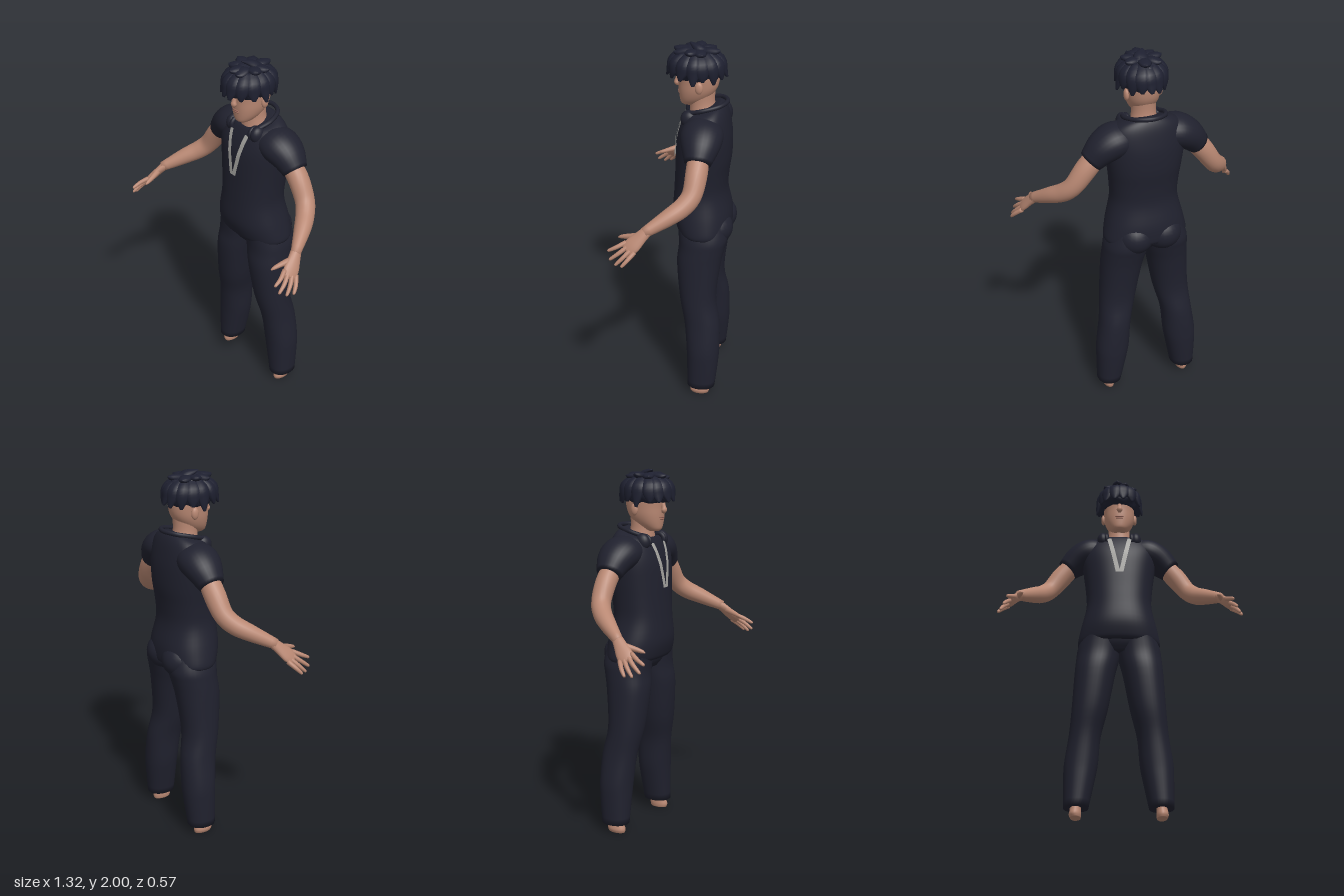
import * as THREE from 'three';

const mat = (name, color, extra = {}) => Object.assign(new THREE.MeshStandardMaterial({ color, ...extra }), { name });
const V = (x, y, z) => new THREE.Vector3(x, y, z);

// Skin a list of equal-length point rings, closing both ends
function loft(rings) {
  const n = rings[0].length, pos = [], idx = [];
  rings.forEach(r => r.forEach(p => pos.push(p.x, p.y, p.z)));
  for (let i = 0; i < rings.length - 1; i++)
    for (let j = 0; j < n; j++) {
      const a = i * n + j, b = i * n + (j + 1) % n;
      idx.push(a, a + n, b, b, a + n, b + n);
    }
  [rings[0], rings[rings.length - 1]].forEach((r, e) => {
    const c = r.reduce((s, p) => s.add(p), V(0, 0, 0)).divideScalar(n), k = pos.length / 3;
    pos.push(c.x, c.y, c.z);
    const o = e ? (rings.length - 1) * n : 0;
    for (let j = 0; j < n; j++) {
      const a = o + j, b = o + (j + 1) % n;
      e ? idx.push(k, b, a) : idx.push(k, a, b);
    }
  });
  const g = new THREE.BufferGeometry();
  g.setAttribute('position', new THREE.Float32BufferAttribute(pos, 3));
  g.setIndex(idx);
  g.computeVertexNormals();
  return g;
}

const spline = pts => new THREE.CatmullRomCurve3(pts, false, 'catmullrom', 0.5);
const sup = (v, n) => Math.sign(v) * Math.pow(Math.abs(v), 2 / n);

// Level cross-sections, bottom to top: [y, centreX, halfWidth, frontZ, backZ, tilt]
function stack(secs, power = 2.2, n = 36) {
  const c = spline(secs.map(s => V(s[1], s[0], (s[3] + s[4]) / 2)));
  const r = spline(secs.map(s => V(s[2], s[5] || 0, (s[3] - s[4]) / 2)));
  const steps = (secs.length - 1) * 4, rings = [];
  for (let i = 0; i <= steps; i++) {
    const p = c.getPoint(i / steps), q = r.getPoint(i / steps);
    rings.push(Array.from({ length: n }, (_, j) => {
      const a = j / n * Math.PI * 2, k = sup(Math.sin(a), power);
      return V(p.x + q.x * sup(Math.cos(a), power), p.y - q.y * k, p.z + q.z * k);
    }));
  }
  return loft(rings);
}

// Tapered limb along points [x, y, z, radius, thickness]; ref is the wide direction
function limb(pts, ref = V(0, 0, 1), n = 16, sub = 5) {
  const c = spline(pts.map(p => V(p[0], p[1], p[2])));
  const r = spline(pts.map(p => V(p[3], p[4] ?? p[3], 0)));
  const steps = (pts.length - 1) * sub, rings = [];
  for (let i = 0; i <= steps; i++) {
    const t = i / steps, p = c.getPoint(t), q = r.getPoint(t), d = c.getTangent(t);
    const v = ref.clone().cross(d).normalize(), u = d.clone().cross(v);
    rings.push(Array.from({ length: n }, (_, j) => {
      const a = j / n * Math.PI * 2;
      return p.clone().addScaledVector(u, q.x * Math.cos(a)).addScaledVector(v, q.y * Math.sin(a));
    }));
  }
  return loft(rings);
}

const ball = (x, y, z, rx, ry, rz) => new THREE.SphereGeometry(1, 24, 16).scale(rx, ry, rz).translate(x, y, z);

export function createModel() {
  const model = new THREE.Group();
  const skin = mat('skin', 0xb98873), lip = mat('lips', 0x9c6a5c);
  const cloth = mat('darkCloth', 0x20212e), hairMat = mat('hair', 0x1e2030);
  const trim = mat('greyTrim', 0xa3a29e, { side: THREE.DoubleSide });
  const add = (name, geo, m) => {
    const mesh = new THREE.Mesh(geo, m);
    mesh.name = name;
    model.add(mesh);
    return mesh;
  };

  // Shirt body with a tilted collar
  const torso = [
    [0.975, 0, 0.228, 0.015, -0.262], [1.0, 0, 0.23, 0.03, -0.27], [1.08, 0, 0.213, 0.05, -0.268],
    [1.2, 0, 0.185, 0.045, -0.243], [1.3, 0, 0.188, 0.04, -0.247], [1.4, 0, 0.2, 0.036, -0.26],
    [1.5, 0, 0.213, 0.028, -0.26], [1.57, 0, 0.215, 0.01, -0.25, 0.005], [1.63, 0, 0.188, -0.015, -0.235, 0.01],
    [1.66, 0, 0.14, -0.03, -0.215, 0.02], [1.665, 0, 0.085, -0.035, -0.19, 0.03],
  ];
  add('shirt', stack(torso, 2.25, 48), cloth);
  const chestZ = (x, y) => {
    const i = Math.max(1, torso.findIndex(s => s[0] >= y)), a = torso[i - 1], b = torso[i];
    const [w, f, k] = [2, 3, 4].map(m => THREE.MathUtils.mapLinear(y, a[0], b[0], a[m], b[m]));
    return (f + k) / 2 + (f - k) / 2 * Math.pow(1 - Math.pow(Math.abs(x) / w, 2.25), 1 / 2.25);
  };

  // Trouser seat
  add('trouserSeat', stack([[0.92, 0, 0.14, -0.03, -0.2], [0.97, 0, 0.215, 0.0, -0.25], [1.06, 0, 0.2, 0.02, -0.25]]), cloth);

  for (const s of [1, -1]) {
    const side = s > 0 ? 'left' : 'right';
    const M = pts => pts.map(([x, ...rest]) => [x * s, ...rest]);

    // Leg: [y, innerX, outerX, frontZ, backZ]
    const leg = [
      [0.055, 0.16, 0.293, -0.065, -0.22], [0.2, 0.13, 0.296, -0.06, -0.235], [0.3, 0.112, 0.294, -0.055, -0.24],
      [0.45, 0.098, 0.272, -0.04, -0.235], [0.6, 0.06, 0.258, -0.01, -0.21], [0.8, 0.022, 0.246, 0.01, -0.23],
      [0.9, -0.002, 0.238, 0.003, -0.25], [0.96, -0.01, 0.23, 0.005, -0.262], [1.05, 0.0, 0.2, 0.015, -0.25],
    ].map(([y, a, b, f, k]) => [y, s * (a + b) / 2, (b - a) / 2, f, k]);
    add(side + 'TrouserLeg', stack(leg), cloth);
    add(side + 'Buttock', ball(s * 0.08, 1.0, -0.18, 0.105, 0.1, 0.105), cloth);
    add(side + 'Foot', stack([
      [0, s * 0.228, 0.028, -0.085, -0.185], [0.02, s * 0.23, 0.033, -0.08, -0.19],
      [0.05, s * 0.228, 0.03, -0.09, -0.185], [0.1, s * 0.226, 0.03, -0.1, -0.18]], 2, 20), skin);

    // Sleeve and bare arm
    add(side + 'Sleeve', limb(M([
      [0.1, 1.565, -0.12, 0.1, 0.08], [0.17, 1.563, -0.125, 0.112, 0.092], [0.235, 1.53, -0.128, 0.1, 0.085],
      [0.3, 1.465, -0.125, 0.068, 0.064]]), undefined, 28), cloth);
    add(side + 'Arm', limb(M([
      [0.26, 1.5, -0.125, 0.055], [0.33, 1.42, -0.125, 0.058, 0.056], [0.39, 1.335, -0.113, 0.052],
      [0.435, 1.285, -0.075, 0.05], [0.485, 1.245, -0.01, 0.044], [0.555, 1.185, 0.1, 0.028, 0.025]]), V(0, 1, 0.4), 22), skin);

    // Hand: flat palm, four fingers and a thumb
    const spread = V(s * 0.055, -0.06, -0.08);
    add(side + 'Palm', limb(M([
      [0.545, 1.193, 0.085, 0.028, 0.024], [0.563, 1.165, 0.115, 0.034, 0.021],
      [0.585, 1.125, 0.155, 0.043, 0.018], [0.6, 1.098, 0.183, 0.034, 0.011]]), spread), skin);
    [[0.603, 1.09, 0.28], [0.622, 1.05, 0.268], [0.642, 1.032, 0.235], [0.657, 1.033, 0.2]].forEach((tip, i) => {
      const k = (i - 1.5) / 3 * 0.6;
      const base = [0.59 + 0.055 * k, 1.115 - 0.06 * k, 0.165 - 0.08 * k];
      const at = (t, r) => [...base.map((b, m) => b + (tip[m] - b) * t), r];
      const mid = at(0.5, 0.0115);
      mid[0] += 0.006;
      add(side + 'Finger' + (i + 1), limb(M([at(0, 0.013), mid, at(0.93, 0.008), at(1, 0.002)]), spread, 10, 4), skin);
    });
    add(side + 'Thumb', limb(M([[0.562, 1.165, 0.125, 0.019], [0.545, 1.153, 0.175, 0.015],
      [0.532, 1.14, 0.222, 0.01], [0.528, 1.133, 0.24, 0.003]]), spread, 10), skin);

    // Ear
    add(side + 'Ear', ball(s * 0.091, 1.79, -0.095, 0.014, 0.032, 0.021), skin);

    // Headphone cup and its pad
    add(side + 'HeadphoneCup', ball(s * 0.095, 1.62, -0.045, 0.033, 0.047, 0.045), cloth);
    add(side + 'HeadphonePad', new THREE.TorusGeometry(0.029, 0.013, 10, 24).rotateY(Math.PI / 2).translate(s * 0.072, 1.62, -0.04), cloth);

    // Slanted half of the neckline trim, laid over the chest
    const strip = new THREE.PlaneGeometry(0.025, 1, 2, 16), p = strip.attributes.position;
    for (let i = 0; i < p.count; i++) {
      const t = p.getY(i) + 0.5, x = s * (0.009 + 0.05 * t) + p.getX(i), y = 1.37 + 0.243 * t;
      p.setXYZ(i, x, y, chestZ(x, y) + 0.009);
    }
    strip.computeVertexNormals();
    add(side + 'NeckTrim', strip, trim);
  }

  // Headphone band behind the neck
  const half = [[0.098, 1.655, -0.05], [0.108, 1.675, -0.12], [0.075, 1.692, -0.2]];
  const band = [...half.map(p => V(...p)), V(0, 1.697, -0.232), ...half.map(([x, y, z]) => V(-x, y, z)).reverse()];
  add('headphoneBand', new THREE.TubeGeometry(new THREE.CatmullRomCurve3(band), 40, 0.012, 10), cloth);

  // Neck and head
  add('neck', stack([[1.58, 0, 0.085, -0.03, -0.19], [1.65, 0, 0.07, -0.035, -0.175],
    [1.7, 0, 0.063, -0.035, -0.165], [1.78, 0, 0.065, -0.03, -0.17]], 2, 28), skin);
  add('head', stack([
    [1.672, 0, 0.025, 0.0, -0.06], [1.685, 0, 0.045, 0.014, -0.09], [1.715, 0, 0.067, 0.02, -0.135],
    [1.755, 0, 0.082, 0.024, -0.17], [1.8, 0, 0.088, 0.026, -0.187], [1.86, 0, 0.09, 0.03, -0.19],
    [1.92, 0, 0.075, 0.01, -0.17], [1.95, 0, 0.03, -0.04, -0.11]], 2.2), skin);
  add('nose', limb([[0, 1.84, 0.022, 0.009], [0, 1.805, 0.032, 0.012], [0, 1.785, 0.035, 0.017, 0.015],
    [0, 1.772, 0.026, 0.008]], V(1, 0, 0), 14), skin);
  add('upperLip', ball(0, 1.747, 0.0225, 0.026, 0.005, 0.005), lip);
  add('lowerLip', ball(0, 1.737, 0.0215, 0.022, 0.005, 0.005), lip);

  // Hair: lumpy cap with a flat underside
  const cap = new THREE.SphereGeometry(1, 40, 28), hp = cap.attributes.position;
  for (let i = 0; i < hp.count; i++) {
    const x = hp.getX(i), y = hp.getY(i), z = hp.getZ(i);
    const k = 1 + 0.05 * Math.sin(7 * x + 3 * y) * Math.cos(6 * z - 2) + 0.03 * Math.sin(11 * z + 5 * y);
    hp.setXYZ(i, x * k * 0.115, Math.max(1.885 + y * k * 0.098, 1.825), z * k * 0.138 - 0.07);
  }
  cap.computeVertexNormals();
  add('hairCap', cap, hairMat);

  // Hair locks flaring out around the rim and over the crown
  let seed = 7;
  const rnd = () => (seed = (seed * 16807) % 2147483647) / 2147483647;
  for (let i = 0; i < 15; i++) {
    const a = (i + rnd() * 0.5) / 15 * Math.PI * 2, c = Math.cos(a), d = Math.sin(a), out = 1.02 + rnd() * 0.12;
    const low = d > 0.4 ? 1.832 : 1.805 + rnd() * 0.03;
    const at = (k, y, r, t) => [c * 0.118 * k, y, d * 0.14 * k - 0.07, r, t];
    add('rimLock' + i, limb([at(0.55, 1.955, 0.03, 0.015), at(0.9, 1.915, 0.04, 0.022),
      at(1.0, 1.87, 0.034, 0.018), at(out, low, 0.008, 0.005)], V(-d, 0, c), 10, 4), hairMat);
  }
  for (let i = 0; i < 8; i++) {
    const a = (i + rnd() * 0.6) / 8 * Math.PI * 2, c = Math.cos(a), d = Math.sin(a), up = rnd() * 0.018;
    const at = (k, y, r, t) => [c * 0.11 * k, y, d * 0.13 * k - 0.07, r, t];
    add('crownLock' + i, limb([at(0.1, 1.955, 0.02, 0.012), at(0.45, 1.965, 0.036, 0.018),
      at(0.8, 1.955 + up, 0.026, 0.014), at(0.95, 1.96 + up, 0.004, 0.004)], V(-d, 0, c), 10, 4), hairMat);
  }
  add('topTuft', limb([[0.02, 1.94, -0.12, 0.04, 0.03], [0.01, 1.972, -0.085, 0.04, 0.024],
    [-0.01, 1.99, -0.05, 0.022, 0.01], [-0.02, 1.997, -0.03, 0.004, 0.003]], V(1, 0, 0), 10), hairMat);
  return model;
}
